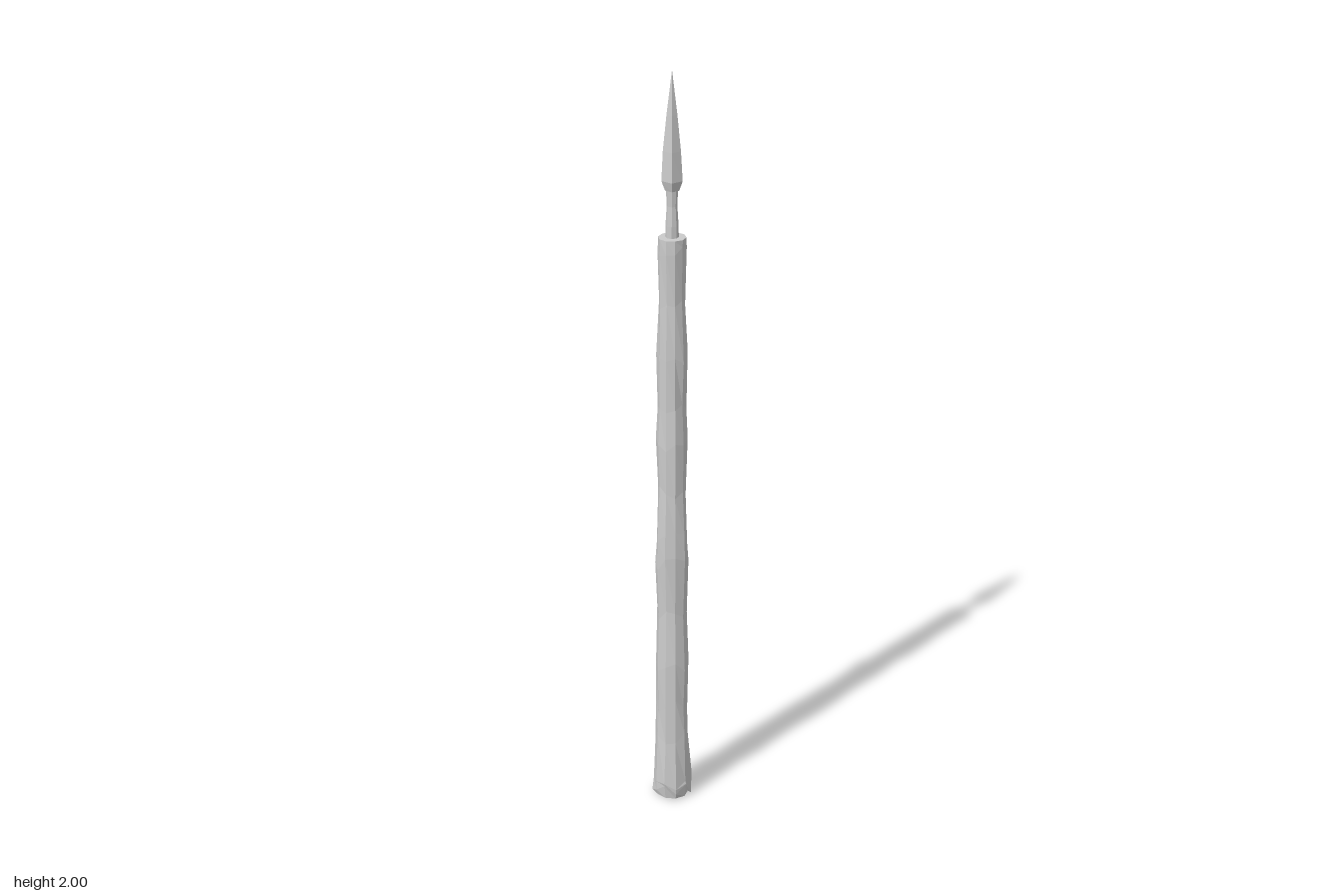
import * as THREE from 'three';

const material = new THREE.MeshStandardMaterial({ color: 0xcccccc, flatShading: true });

// Repeatable value in -1..1 for a ring and side
function wobble(ring, side) {
  const s = Math.sin(ring * 12.99 + side * 78.23) * 43758.5453;
  return (s - Math.floor(s)) * 2 - 1;
}

// Faceted turned part from [radius, y] pairs, optionally roughened like carved wood
function turned(name, profile, sides, turn = 0, rough = 0, lift = 0) {
  const points = profile.map(([r, y]) => new THREE.Vector2(r, y));
  const geometry = new THREE.LatheGeometry(points, sides, turn);
  const pos = geometry.attributes.position;
  const last = points.length - 1;
  for (let v = 0; v < pos.count; v++) {
    const ring = v % points.length;
    const side = Math.floor(v / points.length) % sides;
    const grow = 1 + rough * wobble(ring, side);
    pos.setX(v, pos.getX(v) * grow);
    pos.setZ(v, pos.getZ(v) * grow);
    // keep both ends level, stagger the rings between them
    if (ring > 2 && ring < last - 1) {
      pos.setY(v, pos.getY(v) + lift * wobble(ring + 31, side));
    }
  }
  geometry.computeVertexNormals();
  const mesh = new THREE.Mesh(geometry, material);
  mesh.name = name;
  return mesh;
}

export function createModel() {
  const spear = new THREE.Group();
  spear.name = 'spear';

  // Rough wooden pole with a flared foot and swollen knots
  spear.add(turned('pole', [
    [0, 0.012], [0.028, 0.012], [0.044, 0], [0.051, 0.02], [0.05, 0.05],
    [0.043, 0.18], [0.041, 0.28], [0.043, 0.39], [0.039, 0.55], [0.043, 0.70],
    [0.041, 0.77], [0.036, 0.89], [0.041, 1.03], [0.036, 1.12], [0.038, 1.28],
    [0.033, 1.40], [0.035, 1.54], [0.034, 1.58], [0, 1.58],
  ], 10, 0.1, 0.055, 0.025));

  // Slim socket holding the blade
  spear.add(turned('neck', [
    [0.017, 1.56], [0.016, 1.61], [0.013, 1.66], [0.015, 1.71],
  ], 8));

  // Five-sided tapering point
  spear.add(turned('blade', [
    [0, 1.70], [0.018, 1.70], [0.027, 1.725], [0.023, 1.80], [0.014, 1.89], [0, 2],
  ], 5, 0.5, 0.03));

  return spear;
}
